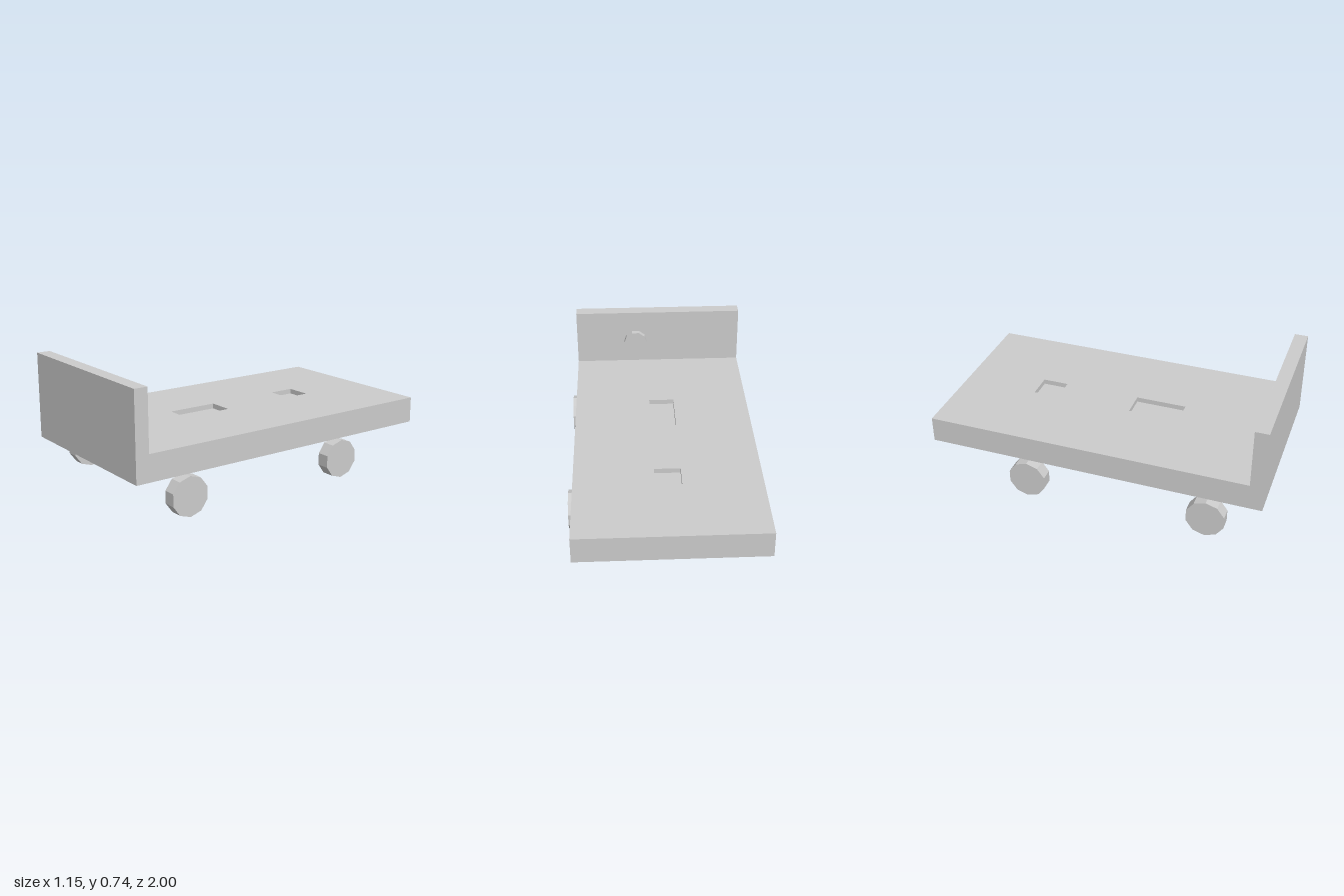
import * as THREE from 'three';

const grey = new THREE.MeshStandardMaterial({ color: 0xcccccc, flatShading: true });

const HALF_W = 0.54, DECK_BOTTOM = 0.23, DECK_TOP = 0.385, BOARD_TOP = 0.74, BOARD_BACK = 0.92;
const POCKET_HALF_W = 0.077, POCKET_DEPTH = 0.03;
const POCKETS = [[-0.54, -0.385], [0.075, 0.38]]; // z ranges

function addMesh(parent, name, geometry) {
  const mesh = new THREE.Mesh(geometry, grey);
  mesh.name = name;
  parent.add(mesh);
  return mesh;
}

// Box between two y and z limits with one face left out (2 = top, 3 = bottom); inward turns it inside out
function openBox(halfW, y0, y1, z0, z1, skip, inward = false) {
  const box = new THREE.BoxGeometry(2 * halfW, y1 - y0, z1 - z0);
  const index = Array.from(box.index.array);
  index.splice(skip * 6, 6);
  if (inward) index.reverse();
  box.setIndex(index);
  const geometry = box.toNonIndexed();
  geometry.computeVertexNormals();
  return geometry.translate(0, (y0 + y1) / 2, (z0 + z1) / 2);
}

// Rectangle in the plan, with shape y running towards -z
function rectangle(PathType, halfW, z0, z1) {
  return new PathType([
    new THREE.Vector2(-halfW, -z1), new THREE.Vector2(halfW, -z1),
    new THREE.Vector2(halfW, -z0), new THREE.Vector2(-halfW, -z0),
  ]);
}

export function createModel() {
  const model = new THREE.Group();
  model.name = 'cart';

  // Deck: sides and underside, then a top surface with two sunken pockets
  const deck = new THREE.Group();
  deck.name = 'deck';
  model.add(deck);
  addMesh(deck, 'deckBody', openBox(HALF_W, DECK_BOTTOM, DECK_TOP, -1, 1, 2));
  const plan = rectangle(THREE.Shape, HALF_W, -1, BOARD_BACK);
  for (const [z0, z1] of POCKETS) {
    plan.holes.push(rectangle(THREE.Path, POCKET_HALF_W, z0, z1));
    addMesh(deck, 'pocket', openBox(POCKET_HALF_W, DECK_TOP - POCKET_DEPTH, DECK_TOP, z0, z1, 2, true));
  }
  addMesh(deck, 'deckTop', new THREE.ShapeGeometry(plan).rotateX(-Math.PI / 2).translate(0, DECK_TOP, 0));

  // Upright board at the front
  addMesh(model, 'frontBoard', openBox(HALF_W, DECK_TOP, BOARD_TOP, BOARD_BACK, 1, 3));

  // Ten-sided knob on the inner face of the board, with corners pointing sideways
  const knob = new THREE.CylinderGeometry(0.075, 0.075, 0.035, 10).rotateY(Math.PI / 2).rotateX(Math.PI / 2);
  addMesh(model, 'knob', knob).position.set(0.15, 0.535, BOARD_BACK - 0.0175);

  // Four ten-sided wheels, each with a corner pointing straight up
  const wheel = new THREE.CylinderGeometry(0.115, 0.115, 0.075, 10).rotateY(Math.PI / 2).rotateZ(Math.PI / 2);
  for (const [end, z] of [['front', 0.692], ['rear', -0.385]]) {
    for (const [side, x] of [['Left', 0.539], ['Right', -0.539]]) {
      addMesh(model, end + side + 'Wheel', wheel).position.set(x, 0.115, z);
    }
  }
  return model;
}
